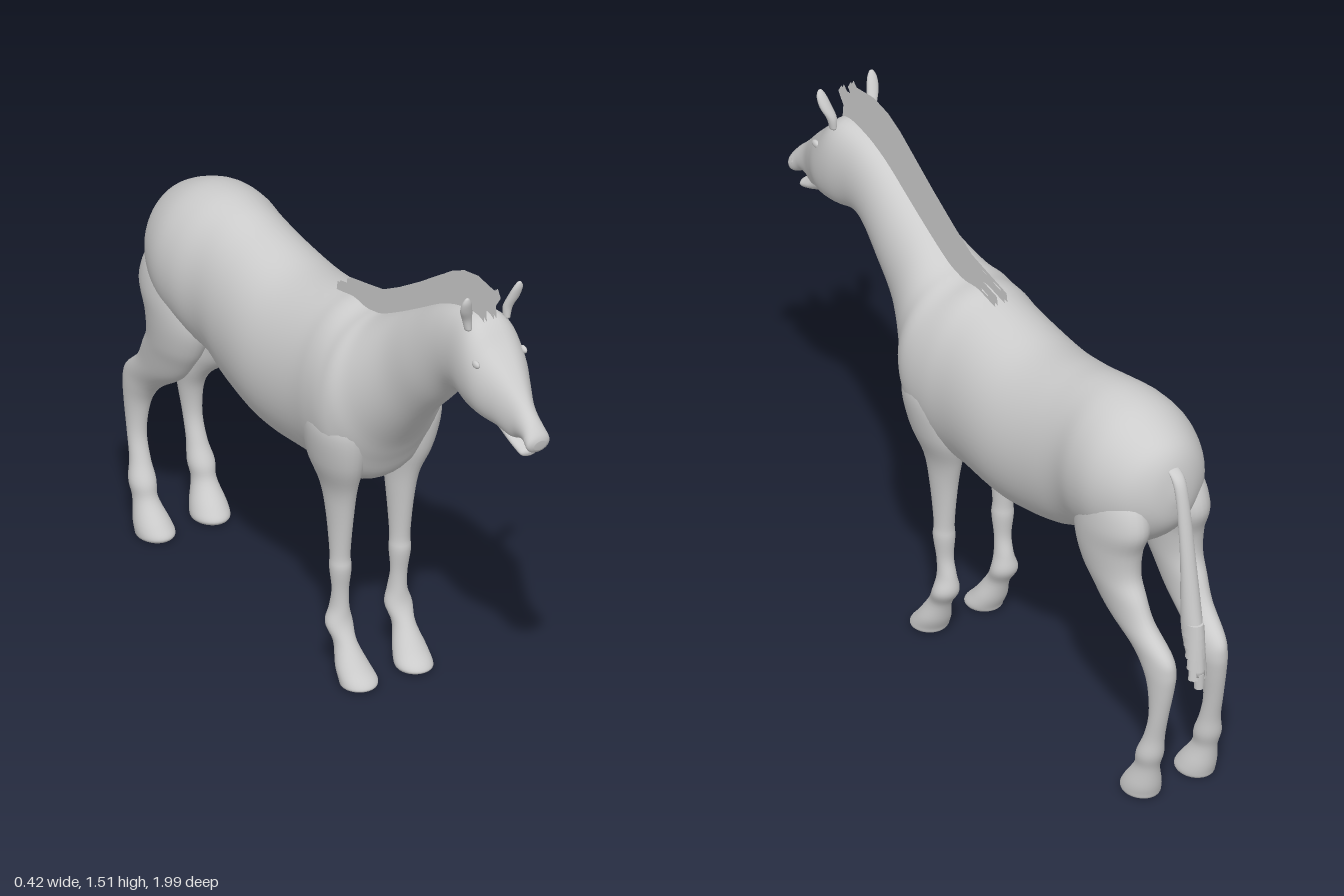
import * as THREE from 'three';

const grey = new THREE.MeshStandardMaterial({ color: 0xcccccc, side: THREE.DoubleSide });
grey.name = 'coat grey';

// Smooth skin over rounded sections [cx, cy, cz, halfWidthX, halfY, halfZ, roundness (1 = ellipse, less = boxier)]
function loft(sections, sides = 32, steps = 5) {
  const rows = [], n = sections.length - 1;
  for (let i = 0; i <= n * steps; i++) {
    const k = Math.min(Math.floor(i / steps), n - 1), t = i / steps - k;
    const at = (j) => sections[Math.max(0, Math.min(n, j))];
    rows.push(at(k).map((b, d) => {
      const a = at(k - 1)[d], c = at(k + 1)[d], e = at(k + 2)[d];
      return b + 0.5 * t * (c - a + t * (2 * a - 5 * b + 4 * c - e + t * (3 * (b - c) + e - a)));
    }));
  }
  const pos = [], idx = [];
  for (const [x, y, z, w, vy, vz, round] of rows) {
    for (let j = 0; j < sides; j++) {
      const a = (j / sides) * Math.PI * 2, c = Math.cos(a), s = Math.sin(a);
      pos.push(x + w * Math.sign(c) * Math.abs(c) ** round, y + vy * s, z + vz * s);
    }
  }
  for (let i = 0; i < rows.length - 1; i++) {
    for (let j = 0; j < sides; j++) {
      const a = i * sides + j, b = i * sides + (j + 1) % sides;
      idx.push(a, b, b + sides, a, b + sides, a + sides);
    }
  }
  // end caps
  const last = (rows.length - 1) * sides, c0 = pos.length / 3;
  pos.push(...rows[0].slice(0, 3), ...rows[rows.length - 1].slice(0, 3));
  for (let j = 0; j < sides; j++) {
    const k = (j + 1) % sides;
    idx.push(c0, k, j, c0 + 1, last + j, last + k);
  }
  // turn the faces outward if the signed volume is negative
  const p = (i) => new THREE.Vector3().fromArray(pos, i * 3);
  let volume = 0;
  for (let i = 0; i < idx.length; i += 3) volume += p(idx[i]).dot(p(idx[i + 1]).cross(p(idx[i + 2])));
  if (volume < 0) idx.reverse();
  const g = new THREE.BufferGeometry();
  g.setAttribute('position', new THREE.Float32BufferAttribute(pos, 3));
  g.setIndex(idx);
  g.computeVertexNormals();
  return g;
}

// Section from a top point, a bottom point, a half width and a roundness
const slice = ([tz, ty, bz, by, w, round = 1]) =>
  [0, (ty + by) / 2, (tz + bz) / 2, w, (ty - by) / 2, (tz - bz) / 2, round];
// Level leg ring from height, inner and outer x, back and front z
const ring = (s) => ([y, x0, x1, z0, z1]) =>
  [s * (x0 + x1) / 2, y, (z0 + z1) / 2, (x1 - x0) / 2, 0, (z1 - z0) / 2, 1];

// Rump, barrel, chest, neck and head in one skin: top z, y, bottom z, y, half width, roundness
const BODY = [
  [-0.862, 0.99, -0.862, 0.95, 0.01], [-0.845, 1.075, -0.845, 0.87, 0.08], [-0.8, 1.13, -0.79, 0.8, 0.145],
  [-0.7, 1.18, -0.7, 0.74, 0.188], [-0.6, 1.195, -0.6, 0.71, 0.192], [-0.5, 1.185, -0.5, 0.685, 0.178],
  [-0.38, 1.158, -0.38, 0.635, 0.188], [-0.2, 1.13, -0.2, 0.608, 0.206], [0, 1.16, 0, 0.61, 0.198],
  [0.08, 1.175, 0.12, 0.612, 0.205], [0.14, 1.17, 0.21, 0.65, 0.208], [0.18, 1.175, 0.26, 0.73, 0.196],
  [0.23, 1.19, 0.31, 0.81, 0.16], [0.32, 1.24, 0.41, 0.93, 0.116], [0.42, 1.3, 0.51, 1.03, 0.1],
  [0.53, 1.365, 0.59, 1.11, 0.09, 0.9], [0.63, 1.402, 0.65, 1.133, 0.09, 0.8], [0.73, 1.408, 0.72, 1.12, 0.098, 0.7],
  [0.8, 1.345, 0.78, 1.112, 0.092, 0.75], [0.86, 1.288, 0.835, 1.105, 0.067, 0.8],
  [0.91, 1.236, 0.88, 1.09, 0.045, 0.85], [0.94, 1.206, 0.912, 1.102, 0.037], [0.97, 1.178, 0.945, 1.106, 0.035],
  [0.994, 1.148, 0.978, 1.088, 0.038], [1.0, 1.13, 0.993, 1.1, 0.02],
];
const JAW = [
  [0.82, 1.19, 0.8, 1.112, 0.045], [0.88, 1.12, 0.87, 1.083, 0.036], [0.92, 1.096, 0.915, 1.064, 0.032],
  [0.945, 1.086, 0.94, 1.058, 0.029], [0.953, 1.077, 0.95, 1.064, 0.01],
];
// Legs from shoulder or hip to hoof: y, inner x, outer x, back z, front z
const FRONT_LEG = [
  [0.98, 0.06, 0.12, 0.1, 0.19], [0.92, 0.05, 0.176, 0.07, 0.225], [0.84, 0.04, 0.205, 0.03, 0.262],
  [0.72, 0.05, 0.186, 0.025, 0.245], [0.62, 0.062, 0.15, 0.058, 0.205], [0.53, 0.066, 0.138, 0.082, 0.183],
  [0.4, 0.072, 0.13, 0.1, 0.164], [0.35, 0.069, 0.132, 0.1, 0.166], [0.28, 0.074, 0.124, 0.106, 0.155],
  [0.22, 0.07, 0.126, 0.093, 0.154], [0.17, 0.06, 0.141, 0.088, 0.162], [0.12, 0.066, 0.132, 0.118, 0.19],
  [0.06, 0.048, 0.145, 0.138, 0.234], [0.025, 0.038, 0.148, 0.155, 0.266], [0.01, 0.042, 0.146, 0.162, 0.271],
  [0.004, 0.055, 0.133, 0.175, 0.255],
];
const HIND_LEG = [
  [1.0, 0.05, 0.12, -0.78, -0.62], [0.94, 0.03, 0.165, -0.825, -0.58], [0.86, 0.022, 0.182, -0.845, -0.555],
  [0.78, 0.03, 0.18, -0.815, -0.55], [0.7, 0.042, 0.17, -0.81, -0.58], [0.64, 0.05, 0.158, -0.84, -0.62],
  [0.57, 0.054, 0.145, -0.88, -0.68], [0.5, 0.05, 0.132, -0.955, -0.78], [0.45, 0.048, 0.128, -0.968, -0.835],
  [0.39, 0.056, 0.124, -0.96, -0.868], [0.3, 0.066, 0.122, -0.94, -0.88], [0.22, 0.066, 0.126, -0.922, -0.86],
  [0.16, 0.06, 0.138, -0.916, -0.833], [0.11, 0.064, 0.134, -0.9, -0.82], [0.05, 0.045, 0.146, -0.892, -0.775],
  [0.02, 0.038, 0.148, -0.885, -0.755], [0.006, 0.042, 0.144, -0.88, -0.76], [0, 0.055, 0.13, -0.868, -0.775],
];
// Ear: y, inner x, outer x, back z, front z
const EAR = [
  [1.385, 0.055, 0.075, 0.715, 0.74], [1.42, 0.054, 0.084, 0.715, 0.742], [1.455, 0.062, 0.099, 0.728, 0.755],
  [1.485, 0.071, 0.102, 0.742, 0.764], [1.502, 0.08, 0.096, 0.752, 0.764], [1.507, 0.086, 0.09, 0.757, 0.76],
];

// Mane outline and window cut-outs as z, y points
const MANE = [
  [0.745, 1.39], [0.74, 1.44], [0.765, 1.475], [0.75, 1.5], [0.735, 1.485], [0.65, 1.495], [0.58, 1.48], [0.52, 1.45],
  [0.36, 1.34], [0.25, 1.27], [0.17, 1.225], [0.1, 1.208], [0, 1.185], [-0.005, 1.155], [0.18, 1.16],
  [0.32, 1.22], [0.42, 1.28], [0.53, 1.345], [0.63, 1.385],
];
const WINDOWS = [
  [[0.71, 1.462], [0.63, 1.468], [0.56, 1.435], [0.57, 1.408], [0.64, 1.428], [0.71, 1.428]],
  [[0.52, 1.412], [0.37, 1.32], [0.19, 1.212], [0.19, 1.19], [0.35, 1.277], [0.505, 1.377]],
  [[0.155, 1.203], [0.1, 1.198], [0.09, 1.184], [0.15, 1.182]],
  [[0.065, 1.19], [0.03, 1.184], [0.03, 1.175], [0.06, 1.178]],
];
function maneSheet(x, windows) {
  const points = (list) => list.map(([a, b]) => new THREE.Vector2(a, b));
  const shape = new THREE.Shape(points(MANE));
  shape.holes = windows.map((w) => new THREE.Path(points(w)));
  return new THREE.ShapeGeometry(shape).rotateY(-Math.PI / 2).translate(x, 0, 0);
}

export function createModel() {
  const model = new THREE.Group();
  const add = (name, geometry) => {
    const mesh = new THREE.Mesh(geometry, grey);
    mesh.name = name;
    model.add(mesh);
    return mesh;
  };
  add('body', loft(BODY.map(slice), 48));
  add('lowerJaw', loft(JAW.map(slice), 24));

  for (const s of [1, -1]) {
    const side = s > 0 ? 'left' : 'right';
    add(side + 'FrontLeg', loft(FRONT_LEG.map(ring(s)), 28));
    add(side + 'HindLeg', loft(HIND_LEG.map(ring(s)), 28));
    add(side + 'Ear', loft(EAR.map(ring(s)), 16));
    const eye = add(side + 'Eye', new THREE.SphereGeometry(0.014, 16, 12));
    eye.scale.set(0.6, 0.8, 1.2);
    eye.position.set(s * 0.08, 1.305, 0.79);
    const nostril = add(side + 'Nostril', new THREE.TorusGeometry(0.009, 0.003, 8, 16));
    nostril.rotation.y = s * 1.1;
    nostril.position.set(s * 0.031, 1.132, 0.978);
    // framed outer sheet with a plain sheet behind its windows
    add(side + 'ManeFrame', maneSheet(s * 0.021, WINDOWS));
    add(side + 'ManeLining', maneSheet(s * 0.012, []));
  }

  // Tail: y, z, half width, half depth
  const tail = [
    [1.06, -0.83, 0.018, 0.016], [1.035, -0.87, 0.02, 0.016], [0.97, -0.893, 0.02, 0.016],
    [0.8, -0.918, 0.023, 0.02], [0.65, -0.932, 0.028, 0.031], [0.55, -0.943, 0.028, 0.037], [0.43, -0.968, 0.02, 0.02],
  ];
  add('tail', loft(tail.map(([y, z, w, d]) => [0, y, z, w, 0, d, 1]), 20));
  // overlapping flared tufts toward the tip
  for (let i = 0; i < 5; i++) {
    const tuft = add('tailTuft', new THREE.CylinderGeometry(0.027, 0.03, 0.042, 16));
    tuft.scale.z = 1.3 - i * 0.17;
    tuft.position.set(0, 0.575 - i * 0.034, -0.946 - i * 0.005);
  }
  add('tailTip', new THREE.CylinderGeometry(0.016, 0.014, 0.05, 12)).position.set(0, 0.413, -0.973);
  return model;
}
